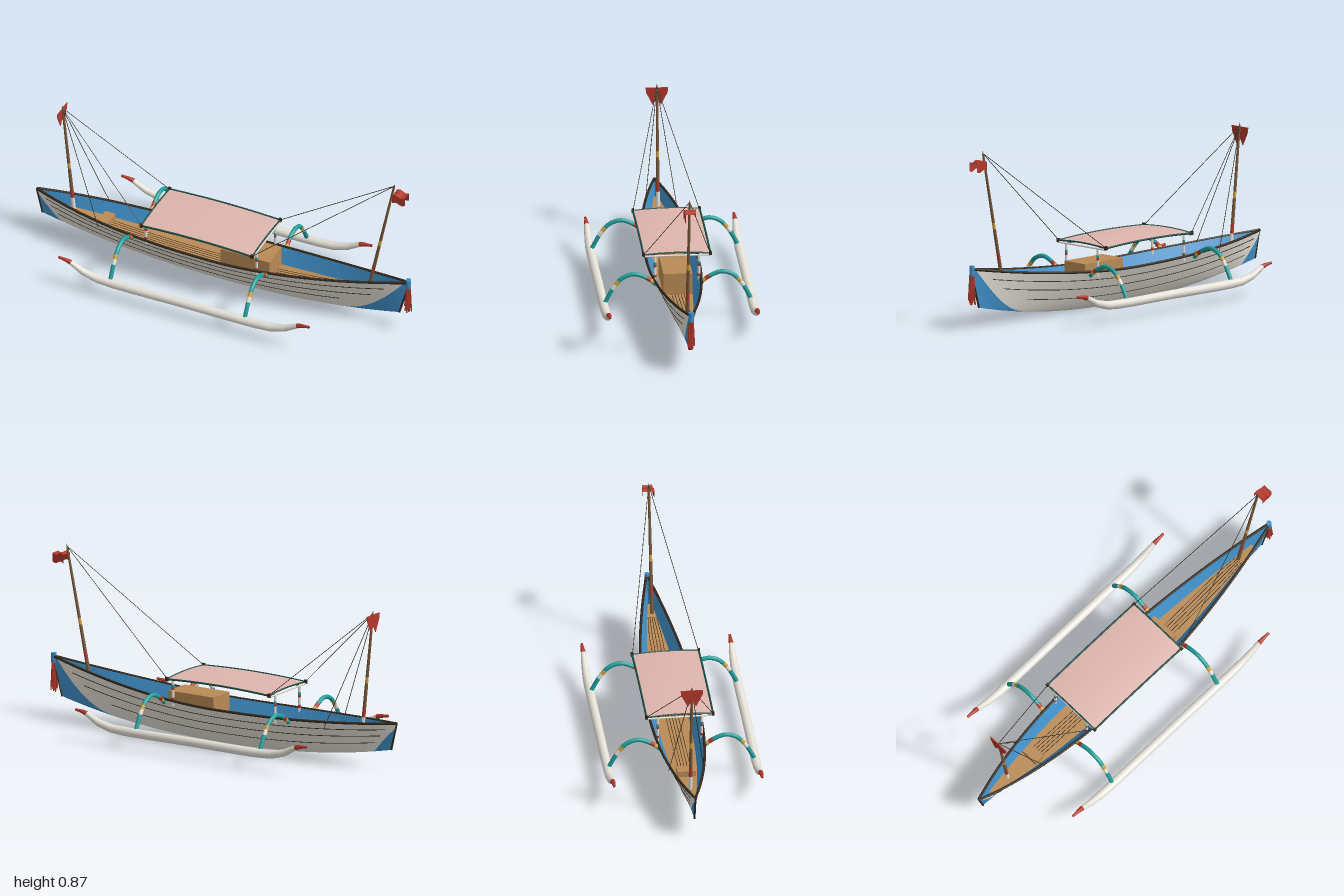
import * as THREE from 'three';

const mat = (name, color, both = true) => {
  const m = new THREE.MeshStandardMaterial({ color, side: both ? THREE.DoubleSide : THREE.FrontSide });
  m.name = name;
  return m;
};
const V = (x, y, z) => new THREE.Vector3(x, y, z);

// Hull lines: X runs stern (-1) to bow (1), v runs keel (0) to sheer (1)
const keelY = X => 0.1 * Math.abs(X) ** 2.2;
const sheerY = X => 0.195 + (X > 0 ? 0.1 * X ** 1.7 : 0.04 * X * X);
const halfW = X => 0.124 * (1 - Math.abs(X) ** (X > 0 ? 1.8 : 2.6));
const hullPoint = (X, v, s, inset = 0) => V(
  X * (X > 0 ? 0.93 + 0.055 * v : 0.97 + 0.03 * v),
  keelY(X) + (sheerY(X) - keelY(X)) * v,
  s * Math.max(0, halfW(X) * v ** 0.8 + 0.002 * v - inset));

// Surface from a rule on a grid
function grid(fn, nu, nv, flip = false) {
  const pos = [], idx = [];
  for (let i = 0; i <= nu; i++) for (let j = 0; j <= nv; j++) pos.push(...fn(i / nu, j / nv).toArray());
  for (let i = 0; i < nu; i++) for (let j = 0; j < nv; j++) {
    const a = i * (nv + 1) + j, b = a + nv + 1;
    if (flip) idx.push(a, a + 1, b, b, a + 1, b + 1);
    else idx.push(a, b, a + 1, b, b + 1, a + 1);
  }
  const g = new THREE.BufferGeometry();
  g.setAttribute('position', new THREE.Float32BufferAttribute(pos, 3));
  g.setIndex(idx);
  g.computeVertexNormals();
  return g;
}

// Stretch of a curve from t0 to t1, with a radius rule along the whole curve
function tube(curve, t0, t1, radius, seg = 16, sides = 12) {
  const pts = [];
  for (let i = 0; i <= 16; i++) pts.push(curve.getPointAt(t0 + (t1 - t0) * i / 16));
  const path = new THREE.CatmullRomCurve3(pts);
  const g = new THREE.TubeGeometry(path, seg, 1, sides, false);
  const p = g.attributes.position, w = V();
  for (let i = 0; i <= seg; i++) {
    const c = path.getPointAt(i / seg), r = radius(t0 + (t1 - t0) * i / seg);
    for (let j = 0; j <= sides; j++) {
      const k = i * (sides + 1) + j;
      w.fromBufferAttribute(p, k).sub(c).multiplyScalar(r).add(c);
      p.setXYZ(k, w.x, w.y, w.z);
    }
  }
  return g;
}

export function createModel() {
  const white = mat('white paint', 0xe6e2d8), blue = mat('blue paint', 0x3f8fc8);
  const tan = mat('deck wood', 0xb98a55), brown = mat('mast wood', 0x7a5a3c);
  const dark = mat('dark trim', 0x33281c), teal = mat('teal paint', 0x1f9f9c);
  const red = mat('red paint', 0xb2382c), yellow = mat('yellow paint', 0xd0a53c);
  const pink = mat('canopy cloth', 0xddb5ad), green = mat('canopy frame green', 0x1f4a44);
  const root = new THREE.Group();
  root.name = 'outriggerBoat';
  const add = (name, geo, m, parent = root) => {
    const mesh = new THREE.Mesh(geo, m);
    mesh.name = name;
    parent.add(mesh);
    return mesh;
  };
  const group = name => { const g = new THREE.Group(); g.name = name; root.add(g); return g; };
  const box = (name, m, w, h, d, x, y, z, p) =>
    add(name, new THREE.BoxGeometry(w, h, d), m, p).position.set(x, y, z);
  const banded = (name, curve, bands, radius) => {
    const g = group(name);
    let t = 0;
    for (const [end, m] of bands) { add(name + 'Band', tube(curve, t, end, radius), m, g); t = end; }
  };
  const line = (name, a, b, r, m, p) => add(name, tube(new THREE.LineCurve3(a, b), 0, 1, () => r, 1, 6), m, p);
  const along = (v, s, X0, X1, out = 0) => {
    const pts = [];
    for (let i = 0; i <= 32; i++) pts.push(hullPoint(X0 + (X1 - X0) * i / 32, v, s, -out));
    return new THREE.CatmullRomCurve3(pts);
  };

  // Hull skins: blue stern, white middle, blue bow, per side
  const sternEdge = v => -0.9 - 0.1 * Math.min(1, v / 0.82);
  const bowEdge = v => 0.64 + 0.335 * v ** 0.38;
  const patches = [['sternPaint', () => -1, sternEdge, blue, 4],
    ['hullSide', sternEdge, bowEdge, white, 56], ['bowPaint', bowEdge, () => 1, blue, 14]];
  for (const s of [1, -1]) {
    for (const [name, a, b, m, n] of patches)
      add(name, grid((u, q) => {
        const v = q ** 1.6;
        return hullPoint(a(v) + (b(v) - a(v)) * u, v, s);
      }, n, 20, s < 0), m);
    // Inner lining
    add('innerLining', grid((u, q) => hullPoint(-0.985 + 1.96 * u, 0.5 + 0.5 * q, s, 0.006), 50, 6, s > 0), blue);
    // Gunwale and plank seams
    add('gunwale', tube(along(1, s, -1, 1), 0, 1, () => 0.0065, 64, 8), dark);
    for (const [v, X0, X1] of [[0.32, -0.9, 0.66], [0.56, -0.93, 0.82], [0.78, -0.95, 0.88]])
      add('plankSeam', tube(along(v, s, X0, X1), 0, 1, () => 0.0022, 64, 5), dark);
  }

  // Stem, stern post and stemhead
  line('stem', hullPoint(1, 0, 1), hullPoint(1, 1, 1), 0.005, dark);
  line('sternPost', hullPoint(-1, 0, 1), hullPoint(-1, 1, 1), 0.005, dark);
  add('stemhead', new THREE.CylinderGeometry(0.013, 0.013, 0.05, 12), blue).position.set(0.978, 0.286, 0);

  // Deck with board joints
  const deckV = 0.62;
  add('deck', grid((u, q) => {
    const p = hullPoint(-0.93 + 1.83 * u, deckV, 1, 0.005);
    p.z *= 1 - 2 * q;
    return p;
  }, 48, 2, true), tan);
  for (const k of [-2, -1, 0, 1, 2]) {
    const pts = [];
    for (let i = 0; i <= 20; i++) {
      const p = hullPoint(-0.66 + 1.46 * i / 20, deckV, 1);
      pts.push(V(p.x, p.y + 0.001, k * 0.015 * Math.min(1, p.z / 0.045)));
    }
    add('deckJoint', tube(new THREE.CatmullRomCurve3(pts), 0, 1, () => 0.0014, 24, 4), dark);
  }
  box('cabinBox', tan, 0.26, 0.11, 0.14, 0.14, 0.182, 0);
  box('sternBench', tan, 0.055, 0.03, 0.09, -0.63, 0.162, 0);

  // Canopy cloth, arched both ways, with its frame
  const canopy = group('canopy');
  const cx = -0.075, cl = 0.295, cw = 0.162;
  const roof = (a, b) => V(cx + a * cl, 0.32 + 0.009 * (1 - a * a) + 0.008 * (1 - b * b), b * cw);
  add('canopyCloth', grid((u, q) => roof(2 * u - 1, 1 - 2 * q), 16, 16, true), pink, canopy);
  const edge = (f, r) => add('canopyEdge',
    tube(new THREE.CatmullRomCurve3([-1, -0.5, 0, 0.5, 1].map(f)), 0, 1, () => r, 16, 8), green, canopy);
  for (const s of [1, -1]) {
    edge(a => roof(a, s), 0.005);
    edge(b => roof(s, b), 0.004);
    line('canopyRail', V(cx - cl, 0.314, s * 0.107), V(cx + cl, 0.314, s * 0.107), 0.004, green, canopy);
    line('canopyCrossbar', V(cx + s * cl, 0.312, -0.162), V(cx + s * cl, 0.312, 0.162), 0.005, white, canopy);
    for (const e of [1, -1]) {
      box('canopyCorner', dark, 0.014, 0.018, 0.012, cx + e * cl, 0.321, s * cw, canopy);
      // Banded posts
      const x = cx + e * cl;
      banded('canopyPost', new THREE.LineCurve3(V(x, 0.175, s * 0.107), V(x, 0.314, s * 0.107)),
        [[0.2, white], [0.3, red], [0.58, white], [0.66, red], [0.76, teal], [1, white]], () => 0.0065);
    }
  }

  // Outrigger floats and arched arms
  for (const s of [1, -1]) {
    const z = s * 0.36;
    const float = new THREE.CatmullRomCurve3([[-0.72, 0.156], [-0.66, 0.146], [-0.56, 0.098], [-0.48, 0.088],
      [-0.05, 0.087], [0.38, 0.088], [0.46, 0.098], [0.56, 0.146], [0.62, 0.156]].map(([x, y]) => V(x, y, z)));
    banded('float', float, [[0.05, red], [0.95, white], [1, red]],
      t => 0.0225 * Math.min(1, Math.max(0.06, 4 * t * (1 - t)) ** 0.5 * 1.25) * (t < 0.002 || t > 0.998 ? 0.3 : 1));
    for (const x of [-0.445, 0.272]) {
      const arm = new THREE.CatmullRomCurve3([[0.105, 0.186], [0.15, 0.22], [0.21, 0.243], [0.265, 0.228],
        [0.31, 0.18], [0.355, 0.1]].map(([q, y]) => V(x, y, s * q)));
      banded('outriggerArm', arm, [[0.06, teal], [0.11, yellow], [0.18, red], [0.62, teal],
        [0.69, yellow], [0.77, white], [1, teal]], () => 0.0105);
    }
  }

  // Banded masts
  const mastBands = [[0.12, white], [0.2, red], [0.4, brown], [0.45, yellow], [1, brown]];
  const mastR = t => t > 0.999 ? 0 : 0.0095 - 0.004 * t;
  const sternTop = V(-0.865, 0.78, 0), bowTop = V(0.905, 0.866, 0);
  banded('sternMast', new THREE.LineCurve3(V(-0.803, 0.17, 0), sternTop), mastBands, mastR);
  banded('bowMast', new THREE.LineCurve3(V(0.77, 0.21, 0), bowTop),
    [[0.15, brown], [0.21, red], [0.4, brown], [0.45, yellow], [1, brown]], mastR);

  // Rigging
  const rig = group('rigging');
  for (const s of [1, -1]) {
    line('bowStay', bowTop.clone().setY(0.855), V(0.22, 0.322, s * 0.16), 0.0016, dark, rig);
    line('sternStay', sternTop.clone().setY(0.765), V(-0.37, 0.322, s * 0.16), 0.0016, dark, rig);
    line('sternShroud', sternTop.clone().setY(0.765), V(-0.635, 0.175, s * 0.085), 0.0016, dark, rig);
  }

  // Draped bow flag: a rippled sheet folded over three sides
  const fold = [[-0.029, 0.772], [-0.029, 0.815], [0.029, 0.815], [0.029, 0.772]];
  const bowFlag = group('bowFlag');
  for (let k = 0; k < 3; k++)
    add('flagPanel', grid((u, q) => {
      const a = fold[k], b = fold[k + 1];
      return V(0.905 + 0.065 * u, a[1] + (b[1] - a[1]) * q + 0.006 * Math.sin(u * 6.3),
        (a[0] + (b[0] - a[0]) * q) * (1 - 0.15 * u));
    }, 10, 1), red, bowFlag);

  // Swallow-tailed stern pennant across the mast
  const pennant = new THREE.Shape([[-0.055, 0.76], [0.055, 0.76], [0.052, 0.735], [0.02, 0.67],
    [0, 0.705], [-0.02, 0.67], [-0.052, 0.735]].map(p => new THREE.Vector2(...p)));
  const pennantMesh = add('sternPennant', new THREE.ExtrudeGeometry(pennant, { depth: 0.004, bevelEnabled: false }), red);
  pennantMesh.rotation.y = Math.PI / 2;
  pennantMesh.position.x = -0.868;

  // Bow tassel of hanging strands
  const tassel = group('bowTassel');
  for (let i = 0; i < 18; i++) {
    const a = i * 2.4, r = 0.019 * Math.sqrt((i + 0.5) / 18);
    line('tasselStrand', V(0.978 + r * 0.5 * Math.cos(a), 0.275, r * 0.6 * Math.sin(a)),
      V(0.977 + r * Math.cos(a), 0.118 + 0.006 * (i % 6), r * Math.sin(a)), 0.003, red, tassel);
  }
  return root;
}
